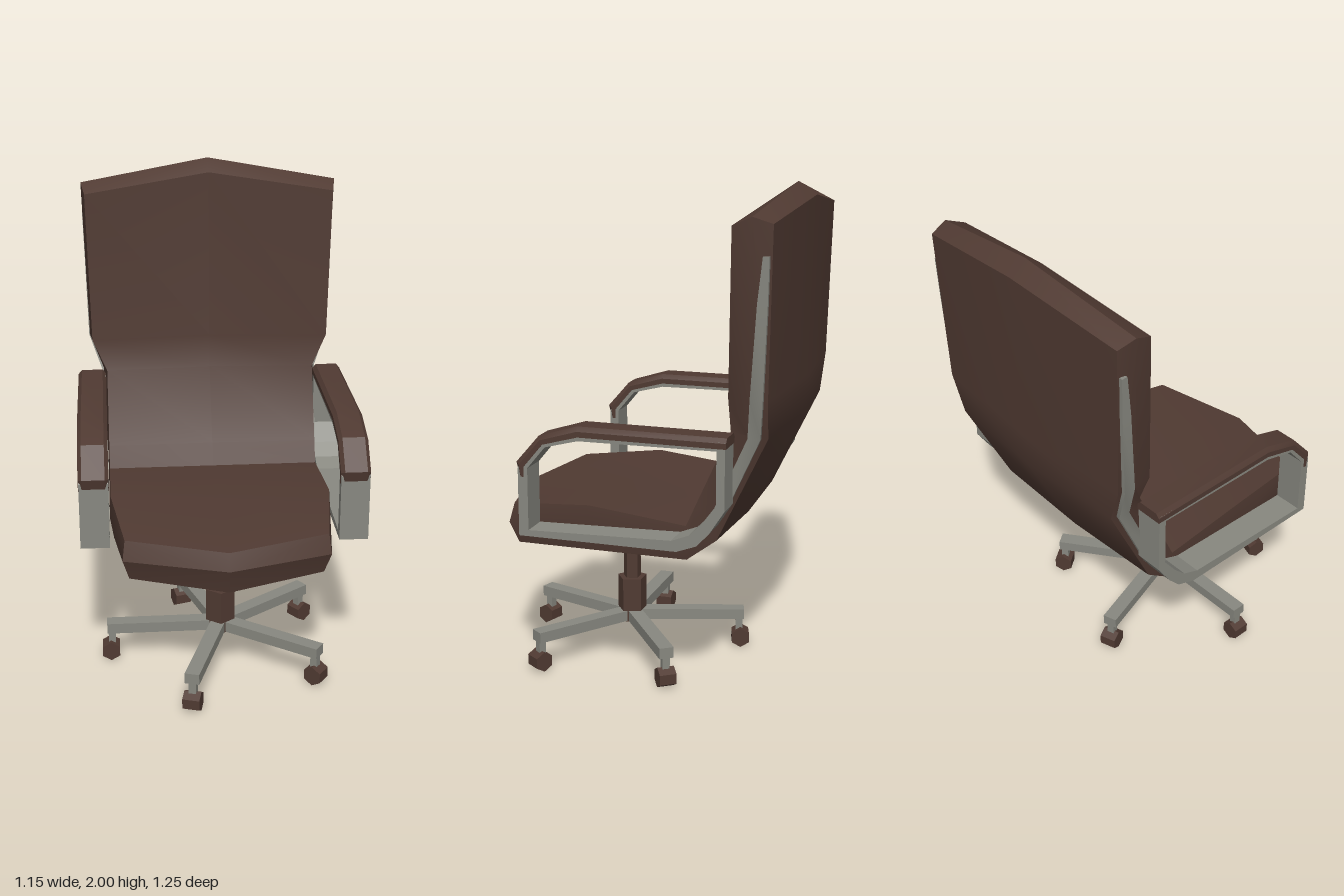
import * as THREE from 'three';
import { toCreasedNormals } from 'three/addons/utils/BufferGeometryUtils.js';

const leather = new THREE.MeshStandardMaterial({ color: 0x503a32 });
leather.name = 'brown leather';
const metal = new THREE.MeshStandardMaterial({ color: 0x888880 });
metal.name = 'grey metal';

function add(parent, name, geometry, material) {
  const mesh = new THREE.Mesh(geometry, material);
  mesh.name = name;
  parent.add(mesh);
  return mesh;
}

// Skin a list of rings of [x, y, z] points; each end closes on a centre point
function loft(rings, startCentre, endCentre) {
  const pos = [];
  const n = rings[0].length;
  const tri = (...pts) => pts.forEach((p) => pos.push(...p));
  const mean = (ring) => [0, 1, 2].map((k) => ring.reduce((s, p) => s + p[k], 0) / n);
  const first = rings[0], last = rings[rings.length - 1];
  const c0 = startCentre || mean(first), c1 = endCentre || mean(last);
  for (let j = 0; j < n; j++) {
    const k = (j + 1) % n;
    for (let i = 0; i < rings.length - 1; i++) {
      const a = rings[i][j], b = rings[i][k], c = rings[i + 1][k], d = rings[i + 1][j];
      tri(a, d, c);
      tri(a, c, b);
    }
    tri(c0, first[j], first[k]);
    tri(c1, last[k], last[j]);
  }
  const g = new THREE.BufferGeometry();
  g.setAttribute('position', new THREE.Float32BufferAttribute(pos, 3));
  return toCreasedNormals(g, 0.5);
}

// Symmetric cushion section: sitting edge, sitting centre, flank, rear edge, rear centre
function cushionRing([ts, tc, m, bs, bc]) {
  const flip = ([x, y, z]) => [-x, y, z];
  return [ts, tc, flip(ts), flip(m), flip(bs), bc, bs, m];
}

// Rectangular section with chamfered top, from outer and inner (z, y) points
function padRing(x, half, outer, inner) {
  const at = (dx, t) => [
    x + dx,
    outer[1] + (inner[1] - outer[1]) * t,
    outer[0] + (inner[0] - outer[0]) * t,
  ];
  return [at(half - 0.015, 0), at(0.015 - half, 0), at(-half, 0.45),
    at(-half, 1), at(half, 1), at(half, 0.45)];
}

function createShell(group) {
  const sections = [
    [[0.4, 0.72, 0.5], [0, 0.7, 0.6], [0.41, 0.64, 0.52], [0.385, 0.55, 0.49], [0, 0.53, 0.6]],
    [[0.45, 0.755, 0.16], [0, 0.738, 0.16], [0.455, 0.66, 0.16], [0.44, 0.57, 0.16], [0, 0.565, 0.16]],
    [[0.45, 0.71, -0.24], [0, 0.71, -0.24], [0.455, 0.64, -0.25], [0.44, 0.57, -0.24], [0, 0.57, -0.24]],
    [[0.45, 0.8, -0.28], [0, 0.8, -0.285], [0.455, 0.73, -0.33], [0.44, 0.66, -0.36], [0, 0.65, -0.37]],
    [[0.45, 1.1, -0.415], [0, 1.1, -0.44], [0.465, 1.09, -0.49], [0.45, 1.08, -0.56], [0, 1.1, -0.6]],
    [[0.51, 1.24, -0.42], [0, 1.24, -0.46], [0.52, 1.24, -0.5], [0.505, 1.24, -0.57], [0, 1.24, -0.605]],
    [[0.525, 1.875, -0.43], [0, 1.95, -0.48], [0.54, 1.91, -0.51], [0.525, 1.885, -0.585], [0, 1.95, -0.625]],
  ];
  add(group, 'seatAndBack', loft(sections.map(cushionRing), [0, 0.63, 0.625], [0, 2, -0.55]), leather);
}

function createArm(side) {
  const arm = new THREE.Group();
  arm.name = side > 0 ? 'leftArm' : 'rightArm';
  const x = side * 0.515;

  // Wide metal band bent into a closed loop
  const pts = (list) => list.map(([z, y]) => new THREE.Vector2(z, y));
  const shape = new THREE.Shape(pts([
    [0.405, 0.645], [0.405, 0.92], [0.31, 1.035], [0.157, 1.08], [-0.428, 1.085],
    [-0.428, 0.82], [-0.37, 0.73], [-0.32, 0.675], [-0.24, 0.645],
  ]));
  shape.holes.push(new THREE.Path(pts([
    [0.365, 0.67], [0.365, 0.92], [0.29, 1.01], [0.155, 1.045], [-0.395, 1.05],
    [-0.395, 0.84], [-0.34, 0.765], [-0.29, 0.715], [-0.22, 0.687],
  ])));
  const band = new THREE.ExtrudeGeometry(shape, { depth: 0.116, bevelEnabled: false });
  band.rotateY(-Math.PI / 2).translate(x + 0.058, 0, 0);
  add(arm, 'armFrame', band, metal);

  // Pad over the top and front bend
  const outer = [[0.402, 0.885], [0.415, 0.94], [0.32, 1.05], [0.16, 1.1], [-0.432, 1.1]];
  const inner = [[0.38, 0.885], [0.38, 0.925], [0.3, 1.02], [0.155, 1.06], [-0.432, 1.06]];
  add(arm, 'armPad', loft(outer.map((o, i) => padRing(x, 0.06, o, inner[i]))), leather);

  // Metal rail running up the flank of the back: x, y, front z, rear z
  const rail = [
    [0.46, 0.76, -0.34, -0.39], [0.47, 1.08, -0.485, -0.535],
    [0.524, 1.24, -0.505, -0.555], [0.533, 1.6, -0.53, -0.57], [0.538, 1.77, -0.55, -0.575],
  ].map(([rx, y, zf, zr]) => {
    const a = side * rx, b = side * (rx - 0.04);
    const hi = Math.max(a, b), lo = Math.min(a, b);
    return [[hi, y, zf], [lo, y, zf], [lo, y, zr], [hi, y, zr]];
  });
  add(arm, 'backRail', loft(rail), metal);
  return arm;
}

function createBase() {
  const base = new THREE.Group();
  base.name = 'base';
  base.position.z = 0.14;

  // Column and hub
  const post = add(base, 'post', toCreasedNormals(new THREE.CylinderGeometry(0.038, 0.038, 0.42, 5), 0.5), leather);
  post.position.y = 0.36;
  const hub = add(base, 'hub', toCreasedNormals(new THREE.CylinderGeometry(0.064, 0.064, 0.19, 5), 0.5), leather);
  hub.position.y = 0.218;

  // Five legs with castors
  const wheelGeometry = toCreasedNormals(new THREE.CylinderGeometry(0.042, 0.042, 0.07, 6), 0.5);
  wheelGeometry.rotateZ(Math.PI / 2);
  wheelGeometry.rotateX(Math.PI / 2);
  for (let i = 0; i < 5; i++) {
    const leg = new THREE.Group();
    leg.name = 'leg' + (i + 1);
    leg.rotation.y = THREE.MathUtils.degToRad(-18 + 72 * i);
    add(leg, 'legBar', new THREE.BoxGeometry(0.06, 0.045, 0.48), metal).position.set(0, 0.148, 0.24);
    add(leg, 'castorStem', new THREE.BoxGeometry(0.03, 0.07, 0.03), metal).position.set(0, 0.1, 0.46);
    add(leg, 'castorWheel', wheelGeometry, leather).position.set(0, 0.042, 0.465);
    base.add(leg);
  }
  return base;
}

export function createModel() {
  const model = new THREE.Group();
  model.name = 'officeChair';
  createShell(model);
  model.add(createArm(1), createArm(-1), createBase());
  return model;
}
